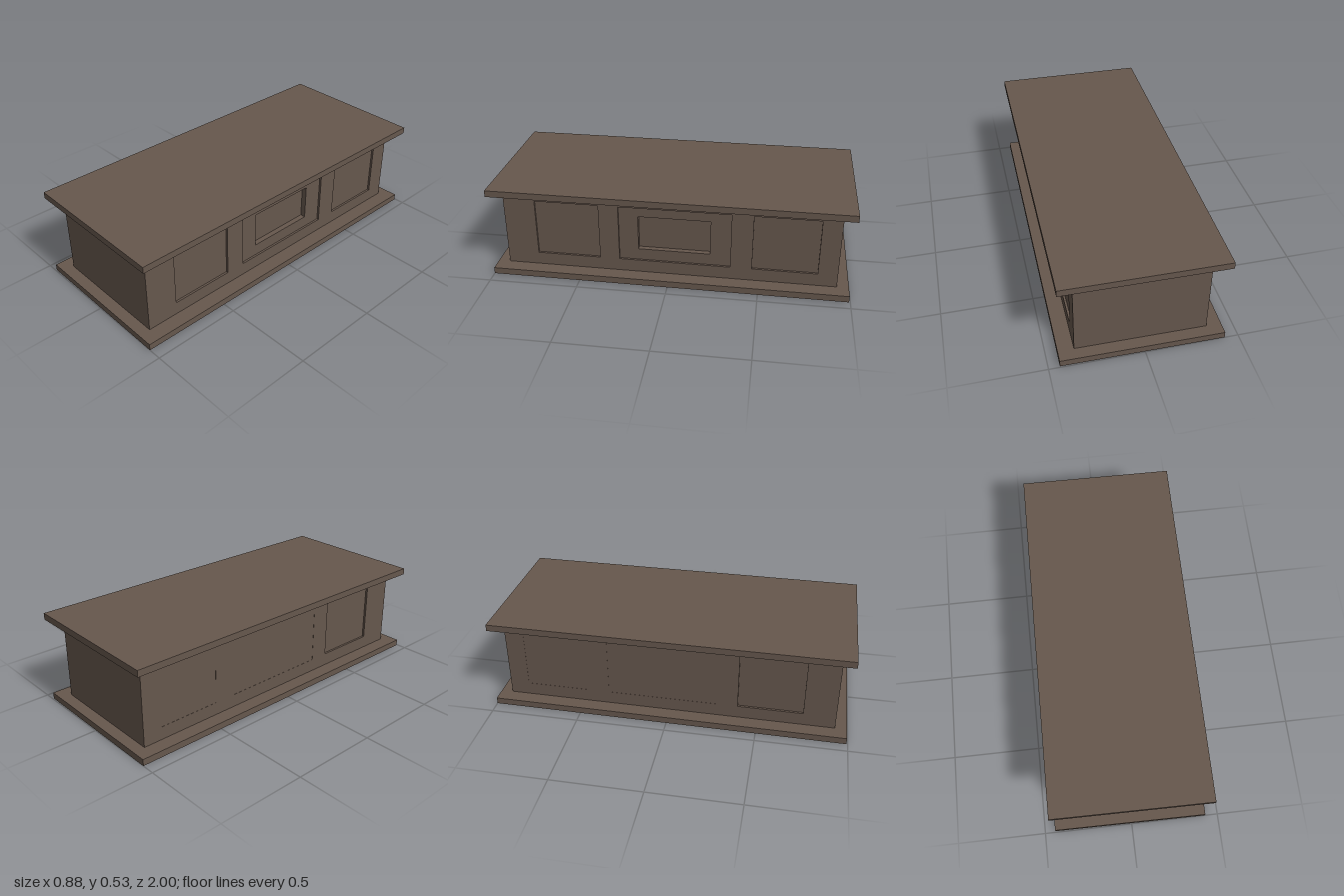
import * as THREE from 'three';

const SLAB = 0.037, TOP = 0.526;
const BODY_W = 0.702, BODY_L = 1.862, OFFSET_X = -0.002;
const RECESS = 0.012, NICHE = 0.03;
const PANEL_Y = [0.11, 0.437];
// z ranges of the side panels, front to back
const PANELS = [[0.392, 0.7525], [-0.343, 0.2805], [-0.8225, -0.4625]];

// Rectangle in the side plane, where shape x is -z
function rect(Type, [z0, z1], [y0, y1]) {
  return new Type([[-z1, y0], [-z0, y0], [-z0, y1], [-z1, y1]].map(([u, v]) => new THREE.Vector2(u, v)));
}

// Upright board along z with rectangular openings, from x to x + depth
function sideBoard(x, depth, openings) {
  const shape = rect(THREE.Shape, [-BODY_L / 2, BODY_L / 2], [SLAB, TOP - SLAB]);
  for (const [z, y] of openings) shape.holes.push(rect(THREE.Path, z, y));
  const g = new THREE.ExtrudeGeometry(shape, { depth, bevelEnabled: false });
  return g.rotateY(Math.PI / 2).translate(x, 0, 0);
}

export function createModel() {
  const group = new THREE.Group();
  const wood = new THREE.MeshStandardMaterial({ color: 0x66574d });
  wood.name = 'dark brown wood';

  const add = (name, geometry) => {
    const mesh = new THREE.Mesh(geometry, wood);
    mesh.name = name;
    group.add(mesh);
  };
  const box = (w, h, d, x, y, z) => new THREE.BoxGeometry(w, h, d).translate(x, y, z);

  // Overhanging base and top slabs
  add('base', box(0.868, SLAB, 1.9935, 0, SLAB / 2, 0));
  add('top', box(0.868, SLAB, 1.9935, 0, TOP - SLAB / 2, 0));

  // Solid core between the panelled sides
  const left = OFFSET_X - BODY_W / 2, right = OFFSET_X + BODY_W / 2;
  const coreL = left + RECESS, coreR = right - RECESS - NICHE;
  add('core', box(coreR - coreL, TOP - 2 * SLAB, BODY_L, (coreL + coreR) / 2, TOP / 2, 0));

  // Panelled sides, with a deeper niche in the middle of the +x side
  const openings = PANELS.map((z) => [z, PANEL_Y]);
  add('panelledSideLeft', sideBoard(right - RECESS, RECESS, openings));
  add('nicheBoard', sideBoard(coreR, NICHE, [[[-0.2295, 0.1725], [0.177, 0.38]]]));
  add('panelledSideRight', sideBoard(left, RECESS, openings));

  // Flush panels closing two openings on the -x side
  for (const [z0, z1] of PANELS.slice(1)) {
    const [y0, y1] = PANEL_Y;
    add('flushPanel', box(RECESS - 0.001, y1 - y0, z1 - z0, left + (RECESS + 0.001) / 2, (y0 + y1) / 2, (z0 + z1) / 2));
  }

  // The whole piece stands very slightly turned
  group.rotation.y = -0.0075;
  return group;
}
